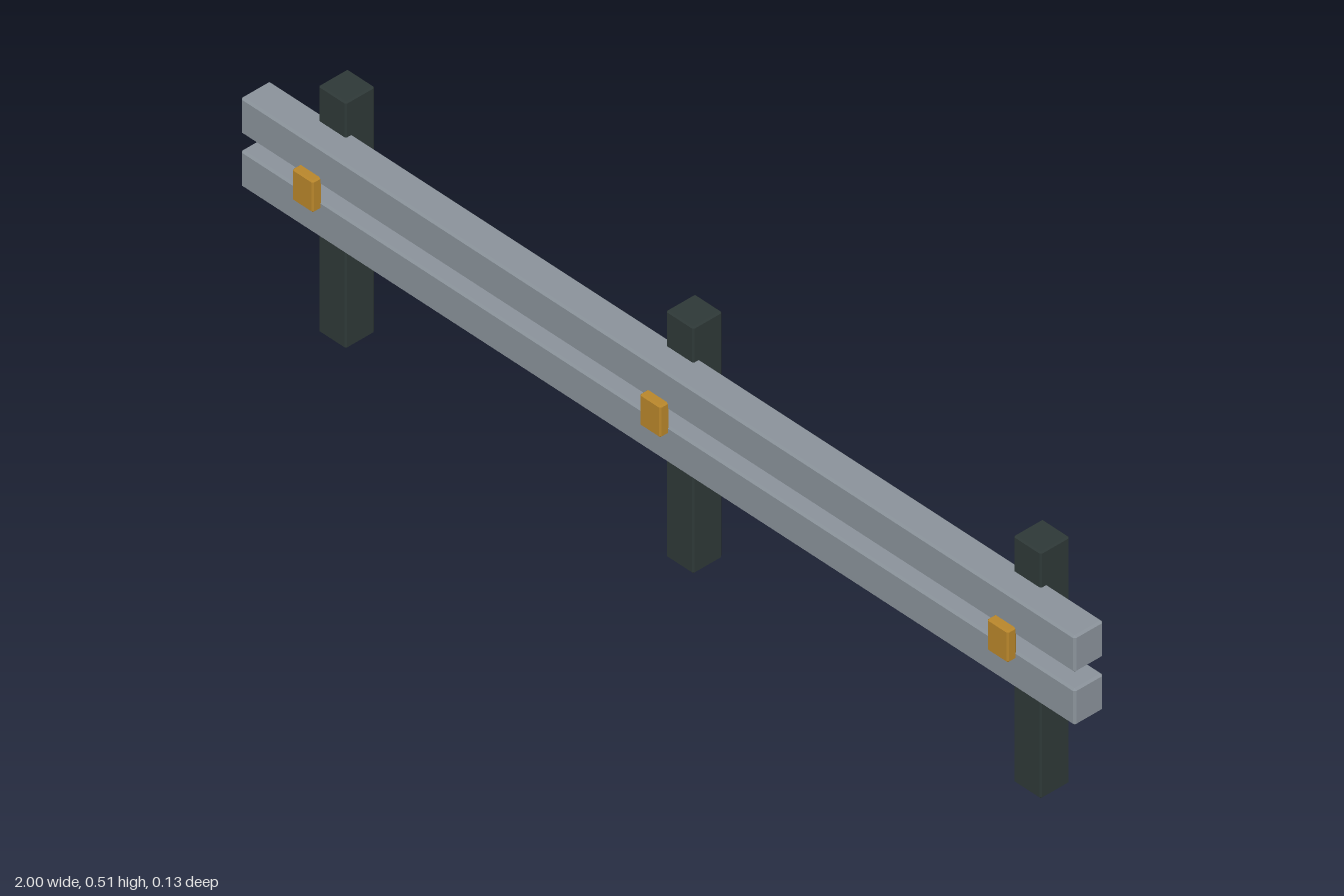
import * as THREE from 'three';
import { ConvexGeometry } from 'three/addons/geometries/ConvexGeometry.js';

const material = (name, color) => {
  const m = new THREE.MeshStandardMaterial({ color });
  m.name = name;
  return m;
};

// Box with chamfered edges: three points around each corner
function chamferBox(w, h, d, c) {
  const points = [];
  for (const x of [-w / 2, w / 2])
    for (const y of [-h / 2, h / 2])
      for (const z of [-d / 2, d / 2]) {
        const ix = x - Math.sign(x) * c, iy = y - Math.sign(y) * c, iz = z - Math.sign(z) * c;
        points.push(
          new THREE.Vector3(x, iy, iz),
          new THREE.Vector3(ix, y, iz),
          new THREE.Vector3(ix, iy, z)
        );
      }
  return new ConvexGeometry(points);
}

export function createModel() {
  const model = new THREE.Group();
  model.name = 'guardRail';

  const steel = material('railGrey', 0x8a929a);
  const dark = material('postDarkGreen', 0x2e3837);
  const amber = material('reflectorAmber', 0xb8862b);

  const add = (name, geometry, mat, x, y, z) => {
    const mesh = new THREE.Mesh(geometry, mat);
    mesh.name = name;
    mesh.position.set(x, y, z);
    model.add(mesh);
  };

  // Two long horizontal rails, let into the front of the posts
  const rail = chamferBox(2, 0.076, 0.066, 0.004);
  add('lowerRail', rail, steel, 0, 0.291, 0.017);
  add('upperRail', rail, steel, 0, 0.401, 0.017);

  // Posts, each with a reflector bridging the gap between the rails
  const post = chamferBox(0.066, 0.512, 0.066, 0.003);
  const reflector = chamferBox(0.05, 0.066, 0.021, 0.003);
  [['right', -0.833], ['middle', 0], ['left', 0.833]].forEach(([side, x]) => {
    add(side + 'Post', post, dark, x, 0.256, -0.033);
    add(side + 'Reflector', reflector, amber, x, 0.346, 0.0565);
  });

  return model;
}
